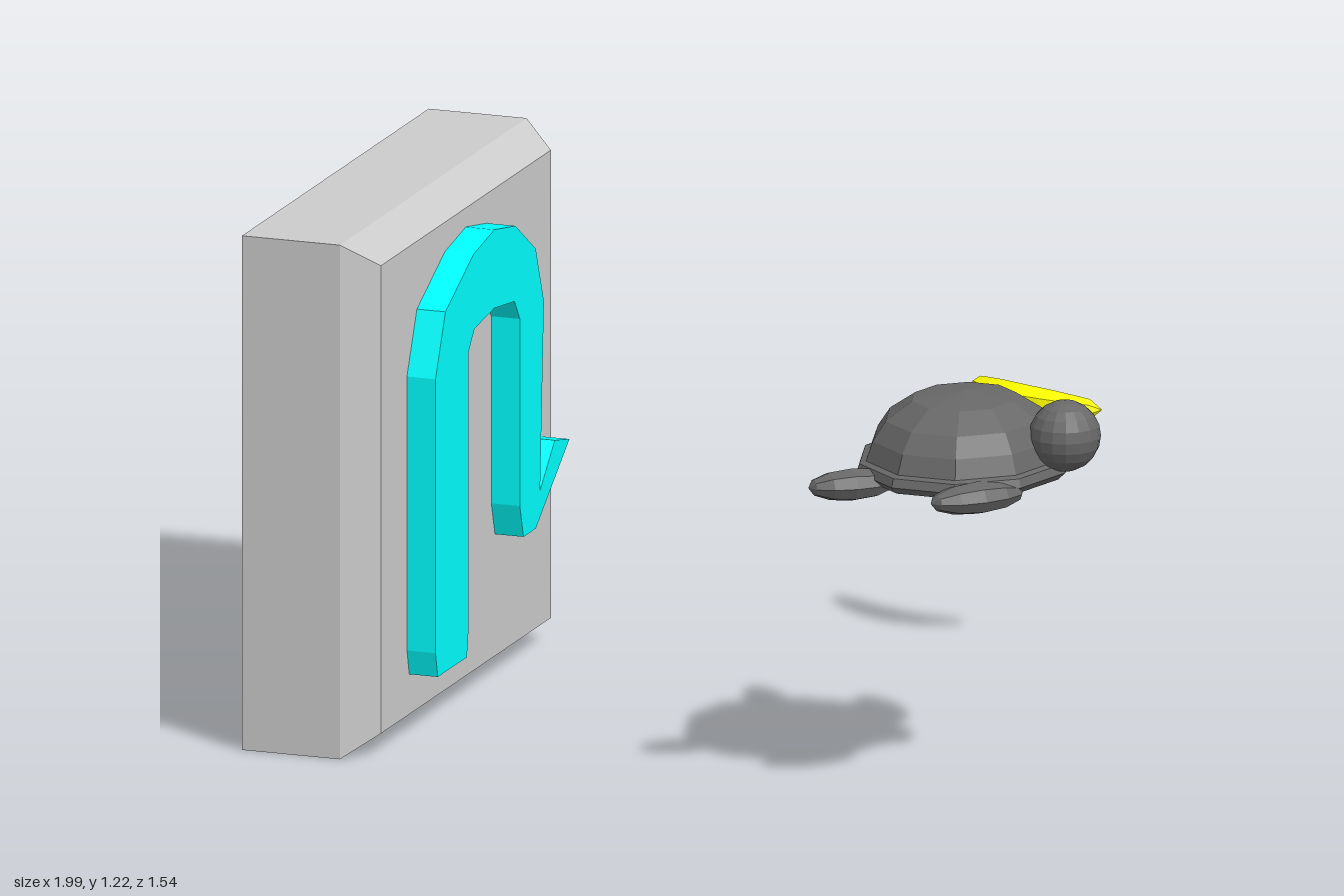
import * as THREE from 'three';

const material = (color) => new THREE.MeshStandardMaterial({ color, flatShading: true });

function addMesh(parent, name, geometry, mat) {
  const mesh = new THREE.Mesh(geometry, mat);
  mesh.name = name;
  parent.add(mesh);
  return mesh;
}

const profile = (pairs) => pairs.map(([r, y]) => new THREE.Vector2(r, y));

// Square block with one chamfered face, turned so that face looks along +x
function buildBlock() {
  const outer = 0.61 * Math.SQRT2, inner = 0.555 * Math.SQRT2;
  const points = profile([[0, -1], [outer, -1], [outer, -0.76], [inner, -0.68], [0, -0.68]]);
  const geometry = new THREE.LatheGeometry(points, 4, Math.PI / 4);
  geometry.rotateZ(-Math.PI / 2);
  geometry.translate(0, 0.61, 0.12);
  return geometry;
}

// Hooked arrow outline given as [z, y], raised from the block's face
function buildArrow() {
  const outline = [
    [0.49, 0.15], [0.30, 0.15], [0.29, 0.21], [0.29, 0.87], [0.25, 0.917], [0.12, 0.934],
    [-0.012, 0.917], [-0.046, 0.867], [-0.046, 0.423], [-0.07, 0.344], [-0.15, 0.344],
    [-0.37, 0.502], [-0.274, 0.523], [-0.178, 0.427], [-0.203, 0.87], [-0.15, 1.008],
    [-0.017, 1.095], [0.12, 1.12], [0.257, 1.095], [0.44, 1.004], [0.505, 0.86], [0.505, 0.21],
  ];
  const shape = new THREE.Shape(outline.map(([z, y]) => new THREE.Vector2(-z, y)));
  const geometry = new THREE.ExtrudeGeometry(shape, { depth: 0.07, bevelEnabled: false });
  geometry.rotateY(Math.PI / 2);
  geometry.translate(-0.68, 0, 0);
  return geometry;
}

// Turtle facing +x: ten-sided shell, ball head and four flippers
function buildTurtle() {
  const turtle = new THREE.Group();
  turtle.name = 'turtle';
  const grey = material(0x686868);

  // Closed shell profile: hollow belly, rim, then dome
  const points = profile([
    [0, 0.785], [0.11, 0.785], [0.115, 0.733], [0.135, 0.733], [0.15, 0.745], [0.262, 0.747],
    [0.283, 0.765], [0.275, 0.785], [0.258, 0.79], [0.24, 0.835], [0.206, 0.88],
    [0.136, 0.922], [0, 0.938],
  ]);
  const shell = addMesh(turtle, 'shell', new THREE.LatheGeometry(points, 10, Math.PI / 2), grey);
  shell.scale.x = 0.88;
  shell.position.set(0.663, 0, 0.446);

  const head = addMesh(turtle, 'head', new THREE.SphereGeometry(0.083, 16, 10), grey);
  head.position.set(0.91, 0.853, 0.446);

  // Flippers: name, centre x, centre z, long axis (x, z), half length, half width
  const flippers = [
    ['frontLeftFlipper', 0.78, 0.2, 0.65, 0.75, 0.12, 0.052],
    ['frontRightFlipper', 0.78, 0.675, 0.65, -0.75, 0.12, 0.052],
    ['backLeftFlipper', 0.5, 0.2, 0.6, 0.8, 0.105, 0.048],
    ['backRightFlipper', 0.47, 0.665, 0.78, -0.62, 0.105, 0.048],
  ];
  for (const [name, x, z, dx, dz, length, width] of flippers) {
    const geometry = new THREE.SphereGeometry(1, 8, 6);
    geometry.rotateZ(Math.PI / 2);
    const flipper = addMesh(turtle, name, geometry, grey);
    flipper.scale.set(length, 0.038, width);
    flipper.rotation.y = Math.atan2(-dz, dx);
    flipper.position.set(x, 0.75, z);
  }
  return turtle;
}

// Banana: bent tube whose rings shrink toward both ends
function buildBanana() {
  const curve = new THREE.CatmullRomCurve3([
    [0.23, 0.615, -0.77], [0.305, 0.61, -0.712], [0.4, 0.607, -0.665],
    [0.5, 0.608, -0.652], [0.586, 0.61, -0.661],
  ].map((p) => new THREE.Vector3(...p)));
  const rings = 14, sides = 7;
  const geometry = new THREE.TubeGeometry(curve, rings, 0.045, sides, false);
  const pos = geometry.attributes.position;
  const v = new THREE.Vector3();
  for (let i = 0; i <= rings; i++) {
    const u = i / rings;
    const centre = curve.getPointAt(u);
    const size = i === 0 || i === rings ? 0 : 0.35 + 0.65 * Math.sin(Math.PI * u) ** 0.8;
    for (let j = 0; j <= sides; j++) {
      const k = i * (sides + 1) + j;
      v.fromBufferAttribute(pos, k).sub(centre).multiplyScalar(size).add(centre);
      pos.setXYZ(k, v.x, v.y, v.z);
    }
  }
  return geometry;
}

export function createModel() {
  const model = new THREE.Group();
  model.name = 'model';
  addMesh(model, 'block', buildBlock(), material(0xcccccc));
  addMesh(model, 'arrow', buildArrow(), material(0x00ffff));
  model.add(buildTurtle());
  addMesh(model, 'banana', buildBanana(), material(0xffff00));
  return model;
}
